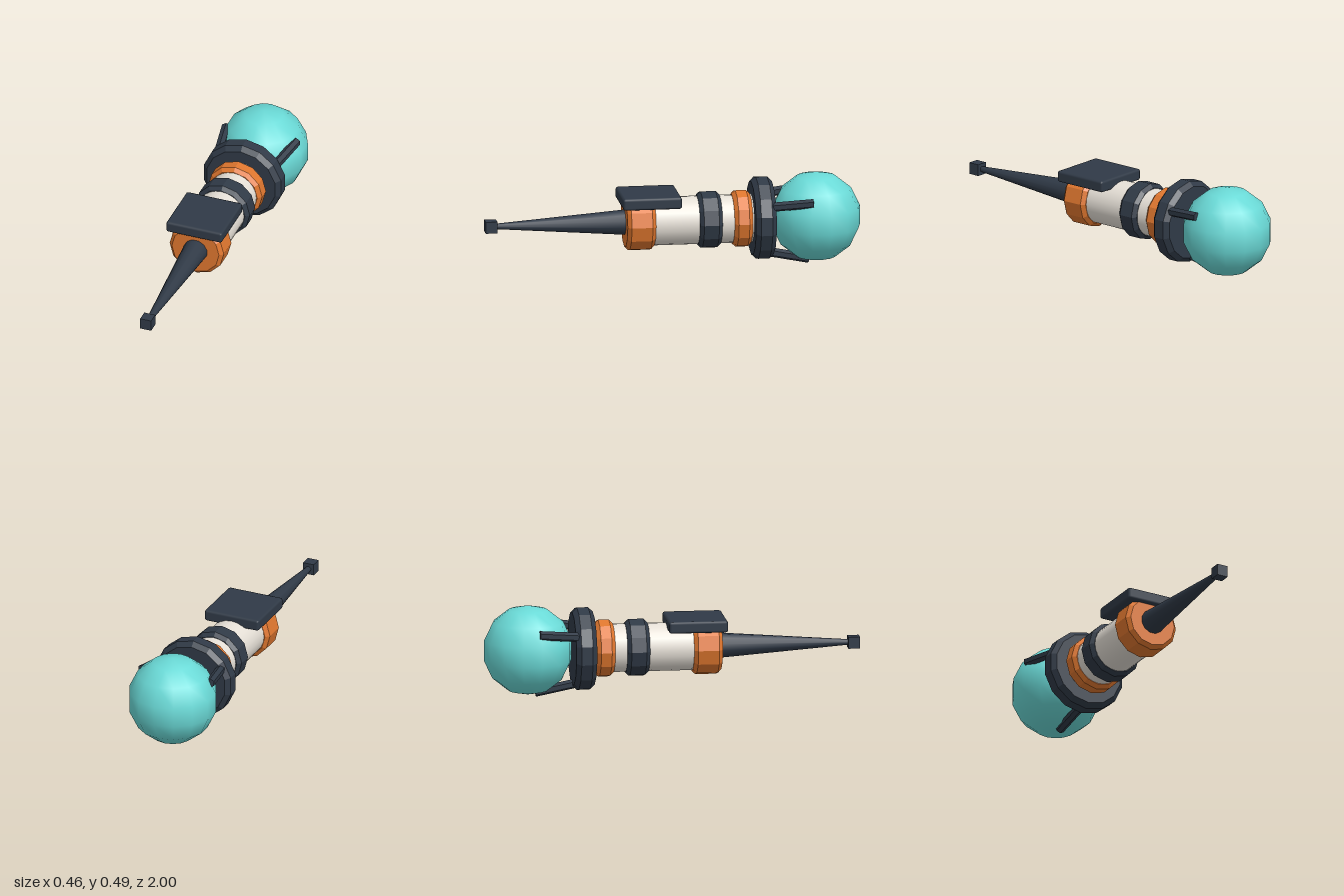
import * as THREE from 'three';
import { toCreasedNormals } from 'three/addons/utils/BufferGeometryUtils.js';
import { RoundedBoxGeometry } from 'three/addons/geometries/RoundedBoxGeometry.js';

const AXIS_Y = 0.256;

function material(name, color) {
  const m = new THREE.MeshStandardMaterial({ color });
  m.name = name;
  return m;
}

// Solid of revolution about z with chamfered rims and crisp facets
function bevelledRing(radius, z0, z1, bevel, sides) {
  const inner = radius - bevel;
  const profile = [
    [0, z0], [inner, z0], [radius, z0 + bevel],
    [radius, z1 - bevel], [inner, z1], [0, z1],
  ].map(([r, z]) => new THREE.Vector2(r, z));
  const geo = new THREE.LatheGeometry(profile, sides).rotateX(Math.PI / 2);
  return toCreasedNormals(geo, 0.2);
}

// Straight rod of given end radii between two points
function rod(a, b, ra, rb, sides, twist = 0) {
  const dir = b.clone().sub(a);
  const geo = new THREE.CylinderGeometry(rb, ra, dir.length(), sides);
  geo.rotateY(twist);
  geo.rotateX(Math.PI / 2);
  const turn = new THREE.Quaternion().setFromUnitVectors(
    new THREE.Vector3(0, 0, 1), dir.normalize());
  geo.applyQuaternion(turn);
  const mid = a.clone().add(b).multiplyScalar(0.5);
  return geo.translate(mid.x, mid.y, mid.z);
}

export function createModel() {
  const dark = material('dark slate', 0x303a47);
  const orange = material('orange', 0xe0772f);
  const cream = material('warm white', 0xe6e0d7);
  const teal = material('teal', 0x6adad7);

  const model = new THREE.Group();
  model.name = 'device';
  const core = new THREE.Group();
  core.name = 'axisParts';
  core.position.y = AXIS_Y;
  model.add(core);

  const add = (name, geo, mat) => {
    const mesh = new THREE.Mesh(geo, mat);
    mesh.name = name;
    core.add(mesh);
    return mesh;
  };
  const at = (x, y, z) => new THREE.Vector3(x, y, z);

  // Body and its bands
  add('body', rod(at(0, 0, -0.43), at(0, 0, 0.12), 0.128, 0.128, 24), cream);
  add('frontBand', bevelledRing(0.153, 0.105, 0.257, 0.02, 12), orange);
  add('middleBand', bevelledRing(0.153, -0.25, -0.13, 0.02, 12), dark);
  add('rearBand', bevelledRing(0.153, -0.412, -0.315, 0.02, 12), orange);
  add('collar', bevelledRing(0.222, -0.53, -0.42, 0.025, 14), dark);

  // Tapered nose and cube tip
  add('nose', rod(at(0, 0, 0.25), at(0, 0, 0.95), 0.067, 0.014, 12, Math.PI / 12), dark);
  add('tip', new THREE.BoxGeometry(0.062, 0.062, 0.062), dark).position.z = 0.969;

  // Flat plate on top
  add('topPlate', new RoundedBoxGeometry(0.316, 0.062, 0.314, 1, 0.013), dark)
    .position.set(0, 0.384 - AXIS_Y, 0.126);

  // Orb held at the back
  add('orb', new THREE.SphereGeometry(0.24, 14, 7).rotateY(Math.PI / 2), teal)
    .position.z = -0.766;

  // Three splayed prongs gripping the orb
  for (const degrees of [30, 150, 270]) {
    const t = THREE.MathUtils.degToRad(degrees);
    const c = Math.cos(t), s = Math.sin(t);
    const geo = rod(at(c * 0.184, s * 0.184, -0.5), at(c * 0.229, s * 0.229, -0.727), 0.025, 0.025, 6);
    add('prong', toCreasedNormals(geo, 0.5), dark);
  }

  return model;
}
